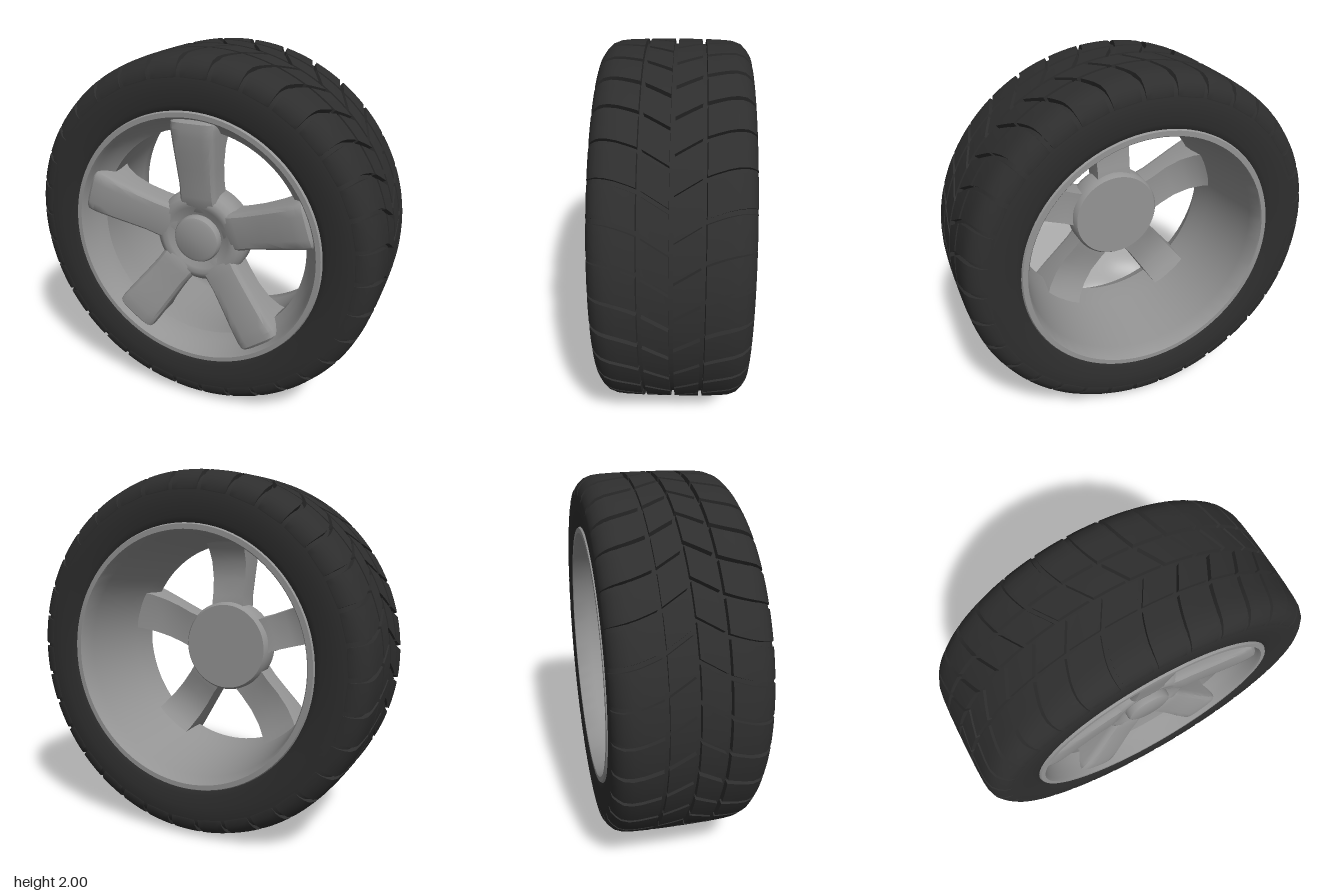
import * as THREE from 'three';
import { mergeGeometries, toCreasedNormals } from 'three/addons/utils/BufferGeometryUtils.js';

const CREASE = 0.6;

// Revolve an (r, z) profile around the wheel axis
function revolve(profile, segments = 96) {
  const g = new THREE.LatheGeometry(profile.map(([r, z]) => new THREE.Vector2(r, z)), segments);
  g.rotateX(Math.PI / 2);
  return toCreasedNormals(g, CREASE);
}

// Skin a list of equal-length rings of [x, y, z], with end caps
function loft(rings) {
  const n = rings[0].length, index = [];
  for (let i = 0; i < rings.length - 1; i++) {
    for (let j = 0; j < n; j++) {
      const a = i * n + j, b = i * n + (j + 1) % n;
      index.push(a, b, b + n, a, b + n, a + n);
    }
  }
  const end = (rings.length - 1) * n;
  for (let j = 1; j < n - 1; j++) {
    index.push(0, j + 1, j, end, end + j, end + j + 1);
  }
  const g = new THREE.BufferGeometry();
  g.setAttribute('position', new THREE.Float32BufferAttribute(rings.flat(2), 3));
  g.setIndex(index);
  g.computeVertexNormals();
  return toCreasedNormals(g, CREASE);
}

// Sideways sweep of the chevron grooves, as an angle, by distance from the centre line
function sweep(z) {
  const d = Math.abs(z);
  return d < 0.145 ? d * 0.62 : 0.09 + 0.055 * Math.sin(Math.min(1, (d - 0.145) / 0.22) * Math.PI / 2);
}

// One row of tread blocks following an (r, z) outline, with z ascending
function treadRow(outline, count, phase) {
  const pitch = Math.PI * 2 / count, gap = 0.026;
  const polar = (r, t, z) => [r * Math.cos(t), r * Math.sin(t), z];
  const block = loft(outline.map(([r, z]) => {
    const t0 = sweep(z) + gap / 2, t1 = sweep(z) + pitch - gap / 2;
    const ring = [];
    for (let k = 0; k <= 4; k++) ring.push(polar(r, t0 + (t1 - t0) * k / 4, z));
    ring.push(polar(r - 0.045, t1 + 0.004, z * 0.96), polar(r - 0.045, t0 - 0.004, z * 0.96));
    return ring;
  }));
  const all = [];
  for (let i = 0; i < count; i++) all.push(block.clone().rotateZ((i + phase) * pitch));
  return mergeGeometries(all);
}

const mirrorProfile = half => [...half.map(([r, z]) => [r, -z]), ...half.slice().reverse()];
const flipRow = row => row.map(([r, z]) => [r, -z]).reverse();

export function createModel() {
  const rubber = new THREE.MeshStandardMaterial({ color: 0x2e2e2e });
  rubber.name = 'darkRubber';
  const alloy = new THREE.MeshStandardMaterial({ color: 0x949494 });
  alloy.name = 'greyAlloy';

  const model = new THREE.Group();
  model.name = 'wheel';
  const wheel = new THREE.Group();
  wheel.name = 'wheelAssembly';
  wheel.position.y = 1;
  model.add(wheel);
  const add = (name, geometry, material, parent = wheel) => {
    const mesh = new THREE.Mesh(geometry, material);
    mesh.name = name;
    parent.add(mesh);
    return mesh;
  };

  // Tyre body: sidewalls and groove floor
  add('tyreBody', revolve(mirrorProfile([
    [0.69, 0.34], [0.715, 0.366], [0.75, 0.376], [0.82, 0.383], [0.89, 0.383],
    [0.92, 0.373], [0.945, 0.349], [0.962, 0.318], [0.972, 0.26], [0.974, 0.1],
  ])), rubber);

  // Tread: two centre rows and two rounded shoulder rows
  const centre = [[1, 0.011], [1, 0.07], [0.999, 0.134]];
  const shoulder = [[0.999, 0.156], [0.997, 0.2], [0.995, 0.25], [0.99, 0.295],
    [0.975, 0.335], [0.95, 0.361], [0.922, 0.38], [0.89, 0.384]];
  add('frontCentreTread', treadRow(centre, 34, 0), rubber);
  add('backCentreTread', treadRow(flipRow(centre), 34, 0.3), rubber);
  add('frontShoulderTread', treadRow(shoulder, 34, 0), rubber);
  add('backShoulderTread', treadRow(flipRow(shoulder), 34, 0.3), rubber);

  // Rim: flat lips, sloping front dish and tapering barrel
  add('rim', revolve([
    [0.604, 0.25], [0.607, 0.19], [0.62, 0.1], [0.645, -0.1], [0.67, -0.28], [0.682, -0.37],
    [0.688, -0.378], [0.715, -0.378], [0.722, -0.366], [0.71, -0.33], [0.69, -0.2],
    [0.69, 0.2], [0.71, 0.33], [0.722, 0.366], [0.715, 0.38], [0.69, 0.38],
    [0.68, 0.365], [0.668, 0.33], [0.64, 0.289], [0.61, 0.255], [0.604, 0.25],
  ]), alloy);

  // Hub with a flat back and a front dished in towards the centre cap
  add('hub', revolve([
    [0, 0.11], [0.25, 0.11], [0.264, 0.13], [0.267, 0.225], [0.258, 0.258], [0.235, 0.283],
    [0.21, 0.292], [0.18, 0.287], [0.15, 0.27], [0, 0.262],
  ], 60), alloy);
  add('centreCap', revolve([
    [0.133, 0.25], [0.133, 0.298], [0.126, 0.311], [0.11, 0.318], [0, 0.32],
  ], 48), alloy);

  // Five dished spokes: distance out, half width, front z, back z
  const stations = [
    [0.1, 0.1, 0.25, 0.13], [0.15, 0.108, 0.272, 0.13], [0.19, 0.11, 0.292, 0.135],
    [0.24, 0.108, 0.302, 0.14], [0.3, 0.106, 0.31, 0.15], [0.4, 0.111, 0.328, 0.168],
    [0.5, 0.117, 0.346, 0.16], [0.58, 0.122, 0.358, 0.125], [0.62, 0.125, 0.361, 0.09],
    [0.655, 0.124, 0.36, 0.09], [0.672, 0.117, 0.346, 0.1],
  ];
  const spokeGeometry = loft(stations.map(([y, w, front, back]) => [
    [0, y, front], [0.5 * w, y, front - 0.001], [0.82 * w, y, front - 0.006],
    [0.95 * w, y, front - 0.02], [w, y, front - 0.045], [0.94 * w, y, back],
    [0, y, back + 0.008],
    [-0.94 * w, y, back], [-w, y, front - 0.045], [-0.95 * w, y, front - 0.02],
    [-0.82 * w, y, front - 0.006], [-0.5 * w, y, front - 0.001],
  ]));
  const spokes = new THREE.Group();
  spokes.name = 'spokes';
  wheel.add(spokes);
  for (let i = 0; i < 5; i++) {
    add('spoke' + (i + 1), spokeGeometry, alloy, spokes).rotation.z = i * Math.PI * 2 / 5;
  }

  return model;
}
